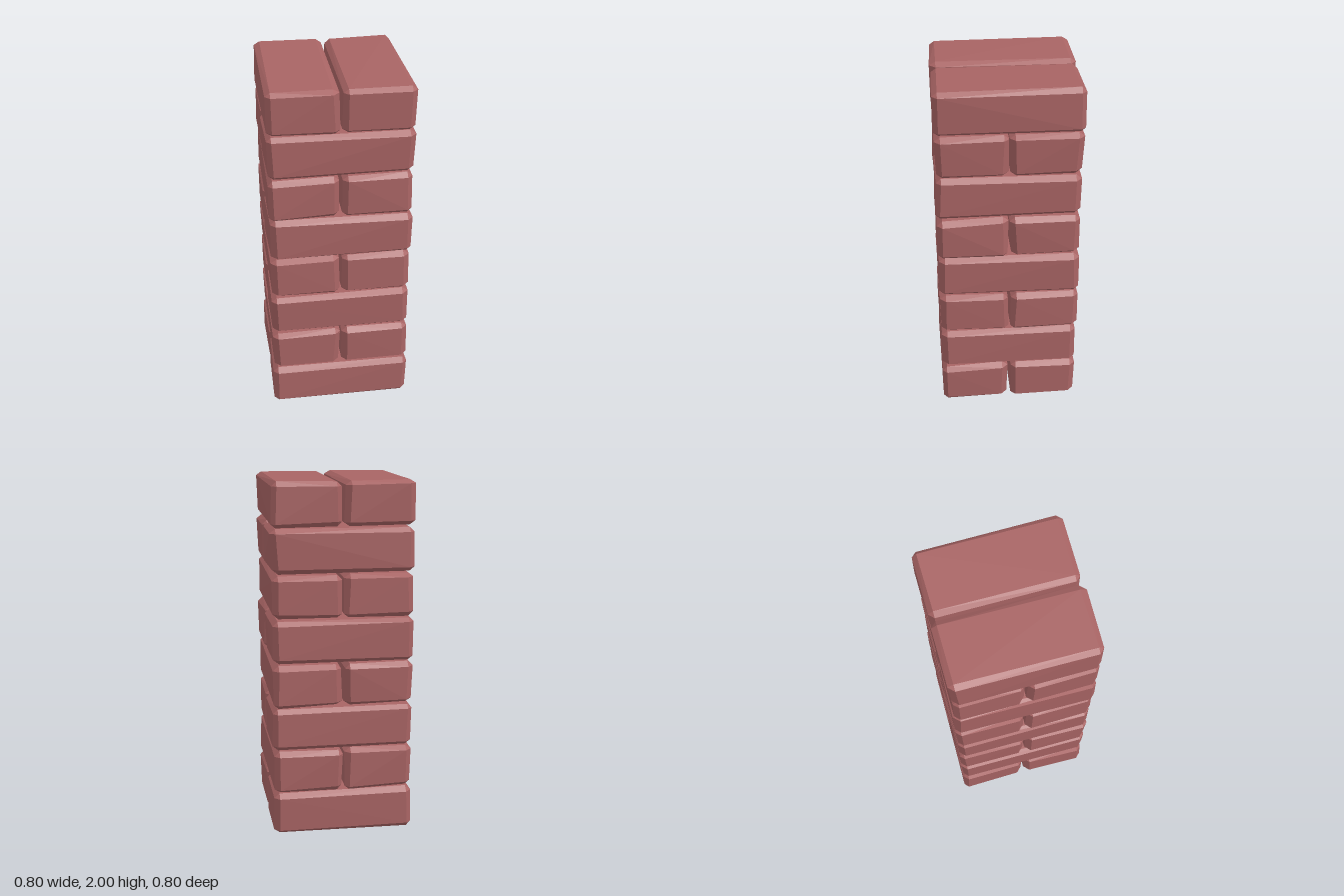
import * as THREE from 'three';
import { ConvexGeometry } from 'three/addons/geometries/ConvexGeometry.js';

const LAYERS = 8;
const PITCH = 0.25;
const LENGTH = 0.79;
const WIDTH = 0.385;
const HEIGHT = 0.242;

// Small seeded generator: values in -1..1
function makeJitter(seed) {
  let s = seed;
  return () => {
    s = (s * 16807) % 2147483647;
    return (s / 2147483647) * 2 - 1;
  };
}

// Chamfered block: every corner is cut into three points and nudged a little
function brickGeometry(jitter) {
  const hx = LENGTH / 2, hy = HEIGHT / 2, hz = WIDTH / 2;
  const points = [];
  for (const sx of [-1, 1]) for (const sy of [-1, 1]) for (const sz of [-1, 1]) {
    const c = 0.03 + 0.006 * jitter();
    const cy = 0.024 + 0.005 * jitter();
    const x = hx + 0.006 * jitter();
    const y = hy + 0.004 * jitter();
    const z = hz + 0.006 * jitter();
    points.push(
      new THREE.Vector3(sx * x, sy * (y - cy), sz * (z - c)),
      new THREE.Vector3(sx * (x - c), sy * y, sz * (z - c)),
      new THREE.Vector3(sx * (x - c), sy * (y - cy), sz * z)
    );
  }
  return new ConvexGeometry(points);
}

export function createModel() {
  const model = new THREE.Group();
  model.name = 'brickPillar';
  const material = new THREE.MeshStandardMaterial({ color: 0xa86464, flatShading: true });
  const jitter = makeJitter(4711);

  // Layers of two bricks, each layer turned a quarter against the one below
  for (let i = 0; i < LAYERS; i++) {
    const layer = new THREE.Group();
    layer.name = `layer${i + 1}`;
    layer.position.y = i * PITCH + PITCH / 2 + 0.002;
    if (i % 2) layer.rotation.y = Math.PI / 2;
    for (const side of [-1, 1]) {
      const brick = new THREE.Mesh(brickGeometry(jitter), material);
      brick.name = side < 0 ? 'brickA' : 'brickB';
      brick.position.z = side * 0.2;
      layer.add(brick);
    }
    model.add(layer);
  }
  return model;
}
